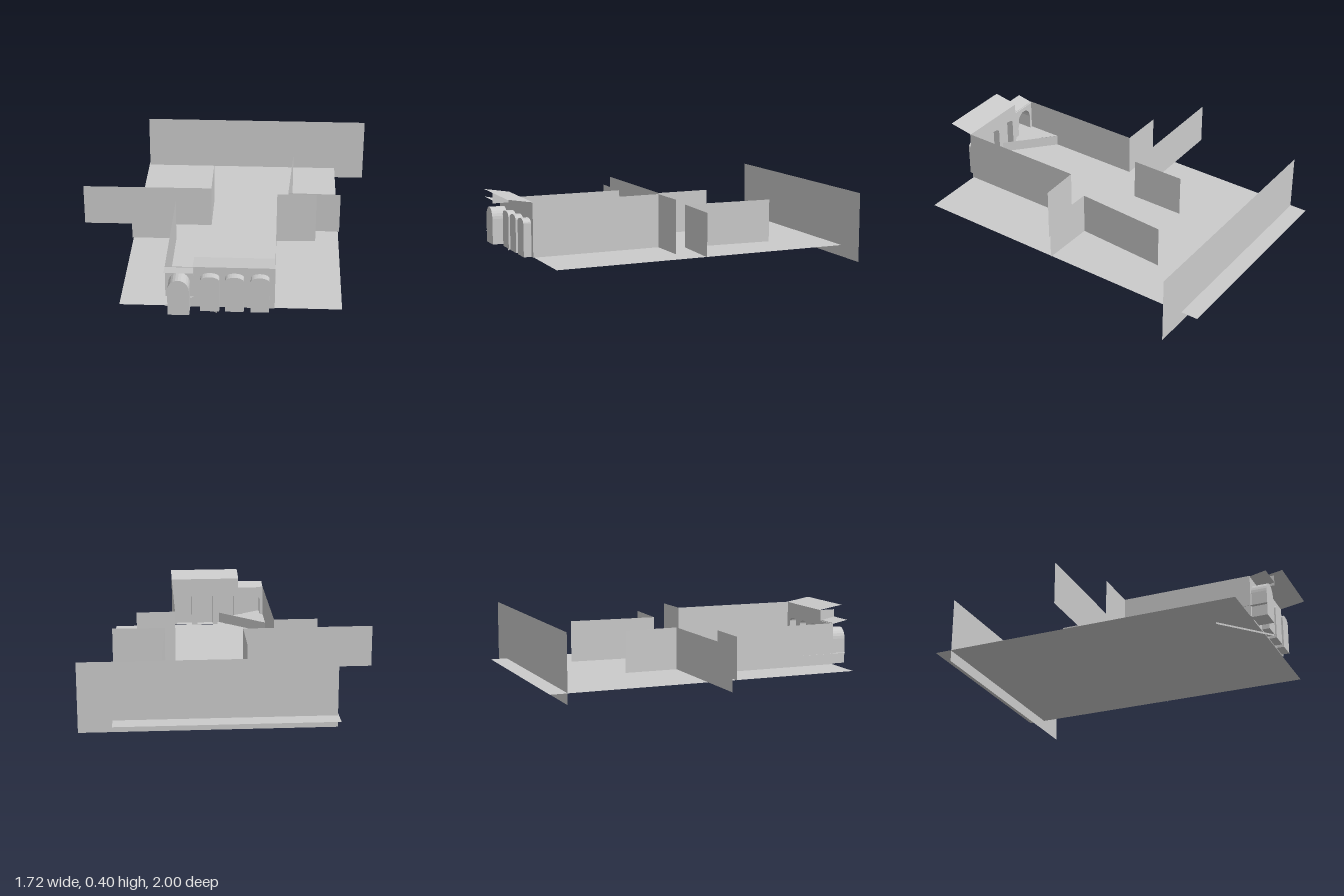
import * as THREE from 'three';

const material = new THREE.MeshStandardMaterial({ color: 0xcccccc, side: THREE.DoubleSide, flatShading: true });
const FLOOR = 0.066, FRONT = 0.855;

// Flat four-cornered panel
function quad(a, b, c, d) {
  const g = new THREE.BufferGeometry();
  g.setAttribute('position', new THREE.Float32BufferAttribute([...a, ...b, ...c, ...d], 3));
  g.setIndex([0, 1, 2, 0, 2, 3]);
  g.computeVertexNormals();
  return g;
}

// Upright panel between two plan points
function wall([x0, z0], [x1, z1], y0, y1) {
  return quad([x0, y0, z0], [x1, y0, z1], [x1, y1, z1], [x0, y1, z0]);
}

// Outline of an arched opening, counter-clockwise
function archPoints({ x0, x1, spring, top }) {
  const points = [new THREE.Vector2(x0, FLOOR), new THREE.Vector2(x1, FLOOR)];
  const cx = (x0 + x1) / 2, r = (x1 - x0) / 2, steps = 12;
  for (let i = 0; i <= steps; i++) {
    const t = (i / steps) * Math.PI;
    points.push(new THREE.Vector2(cx + r * Math.cos(t), spring + (top - spring) * Math.sin(t)));
  }
  return points;
}

export function createModel() {
  const model = new THREE.Group();
  const add = (name, geometry, parent = model) => {
    const mesh = new THREE.Mesh(geometry, material);
    mesh.name = name;
    parent.add(mesh);
    return mesh;
  };

  // Floor slab and tall back wall
  add('floor', quad([-0.545, FLOOR, 0.85], [0.672, FLOOR, 0.85], [0.672, FLOOR, -1], [-0.545, FLOOR, -1]));
  add('backWall', wall([-0.54, -0.9], [0.857, -0.9], 0, 0.396));

  // Interior walls: name, start, end, top height
  const walls = [
    ['frontRoomRightWall', [-0.29, FRONT], [-0.29, 0.095], 0.315],
    ['frontRoomRightReturn', [-0.29, 0.095], [-0.553, 0.095], 0.315],
    ['frontRoomLeftWall', [0.305, FRONT], [0.305, 0.098], 0.375],
    ['frontRoomLeftReturn', [0.305, 0.098], [0.535, 0.093], 0.375],
    ['rearRightWall', [-0.86, -0.075], [-0.09, -0.08], 0.315],
    ['rearRightReturn', [-0.09, -0.08], [-0.09, -0.4], 0.315],
    ['rearLeftWall', [0.68, -0.03], [0.37, -0.04], 0.315],
    ['rearLeftReturn', [0.37, -0.04], [0.4, -0.57], 0.315],
  ];
  for (const [name, a, b, top] of walls) add(name, wall(a, b, FLOOR, top));

  // Stepped facade with arched openings
  const facade = new THREE.Shape([
    [-0.29, FLOOR], [0.305, FLOOR], [0.305, 0.375], [-0.13, 0.375], [-0.13, 0.315], [-0.29, 0.315],
  ].map(([x, y]) => new THREE.Vector2(x, y)));
  const bays = [
    { name: 'entranceBay', x0: -0.272, x1: -0.155, spring: 0.215, top: 0.28, z: 0.945 },
    { name: 'windowBay1', x0: -0.098, x1: 0.005, spring: 0.255, top: 0.28, z: 0.9 },
    { name: 'windowBay2', x0: 0.036, x1: 0.138, spring: 0.255, top: 0.28, z: 0.9 },
    { name: 'windowBay3', x0: 0.174, x1: 0.275, spring: 0.255, top: 0.28, z: 0.9 },
  ];
  for (const bay of bays) {
    const points = archPoints(bay);
    const hole = points.map((p) => new THREE.Vector2(p.x, Math.max(p.y, FLOOR + 0.0005)));
    facade.holes.push(new THREE.Path(hole.reverse()));

    // Projecting bay: front pane and a surround back to the facade
    const group = new THREE.Group();
    group.name = bay.name;
    add('pane', new THREE.ShapeGeometry(new THREE.Shape(points)), group).position.z = bay.z;
    const position = [], index = [], n = points.length;
    points.forEach((p, i) => {
      position.push(p.x, p.y, FRONT, p.x, p.y, bay.z);
      const a = 2 * i, b = 2 * ((i + 1) % n);
      index.push(a, b, b + 1, a, b + 1, a + 1);
    });
    const surround = new THREE.BufferGeometry();
    surround.setAttribute('position', new THREE.Float32BufferAttribute(position, 3));
    surround.setIndex(index);
    surround.computeVertexNormals();
    add('surround', surround, group);
    model.add(group);
  }
  add('facade', new THREE.ShapeGeometry(facade)).position.z = FRONT;

  // Canopies tilting up towards the front, with the panel between them
  add('mainCanopy', quad([-0.13, 0.375, 0.85], [-0.13, 0.4, 1], [0.305, 0.4, 1], [0.305, 0.375, 0.85]));
  add('entranceCanopy', quad([-0.29, 0.31, 0.85], [-0.29, 0.33, 0.95], [-0.13, 0.33, 0.95], [-0.13, 0.31, 0.85]));
  add('canopySidePanel', wall([-0.13, FRONT], [-0.13, 0.95], 0.312, 0.375));

  // Low diagonal partition and the thin ledge by the entrance
  add('diagonalPartition', wall([-0.29, 0.65], [-0.008, 0.9], 0.055, 0.13));
  add('entranceLedge', quad([-0.293, 0.13, 0.65], [-0.293, 0.13, 0.95], [-0.285, 0.13, 0.95], [-0.09, 0.13, 0.83]));

  return model;
}
